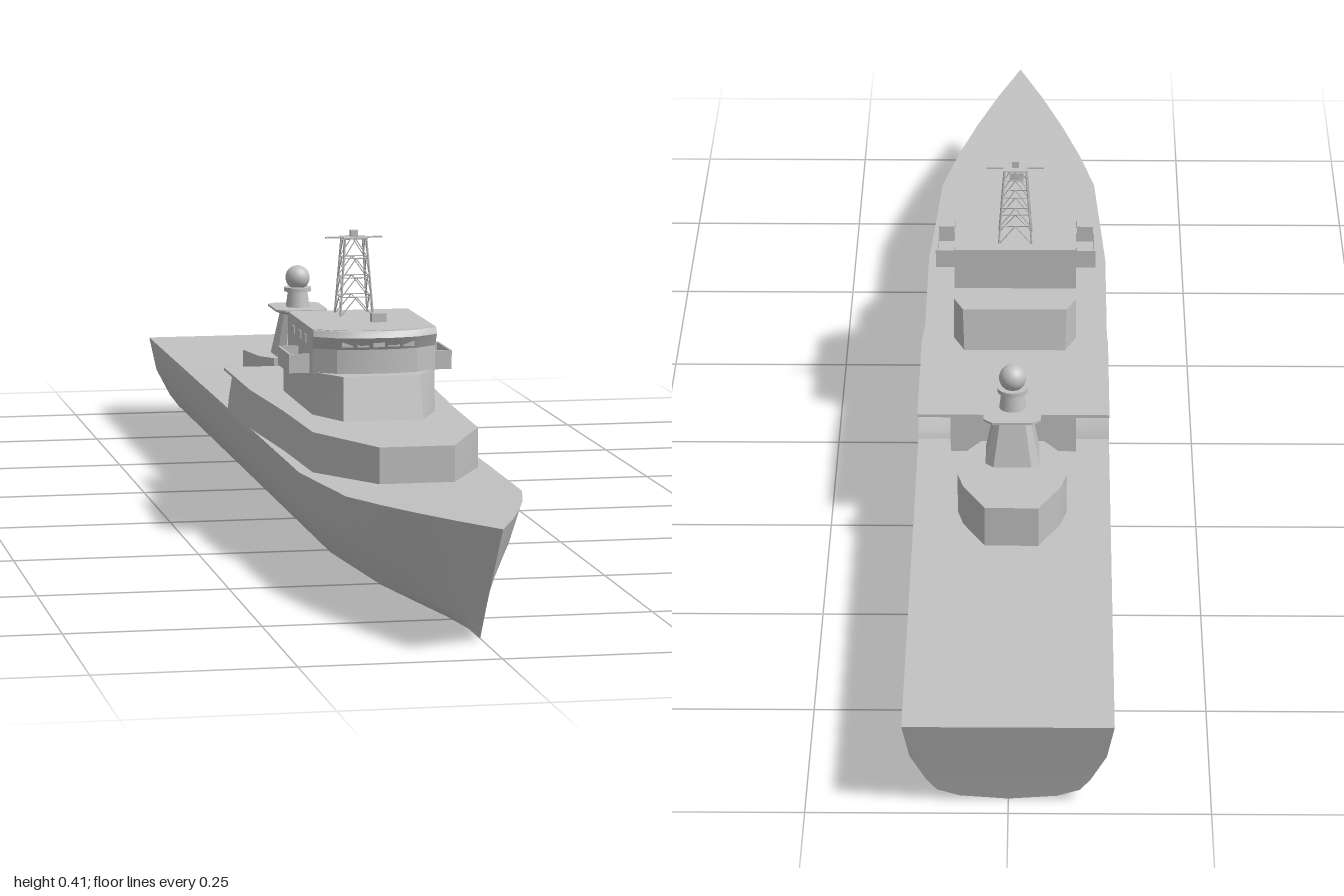
import * as THREE from 'three';
import { toCreasedNormals } from 'three/addons/utils/BufferGeometryUtils.js';

const grey = new THREE.MeshStandardMaterial({ color: 0xc2c2c2 });
grey.name = 'ship grey';

// Skin a row of closed rings of [x, y, z] and cap both ends
function loft(rings, crease = 0.4) {
  const pos = [];
  const n = rings[0].length;
  const tri = (...p) => p.forEach((v) => pos.push(...v));
  const centre = (r) => [0, 1, 2].map((k) => r.reduce((s, p) => s + p[k], 0) / n);
  const first = rings[0], last = rings[rings.length - 1];
  const c0 = centre(first), c1 = centre(last);
  for (let i = 0; i < n; i++) {
    const j = (i + 1) % n;
    for (let k = 0; k + 1 < rings.length; k++) {
      const a = rings[k], b = rings[k + 1];
      tri(a[i], a[j], b[j]);
      tri(a[i], b[j], b[i]);
    }
    tri(c0, first[j], first[i]);
    tri(c1, last[i], last[j]);
  }
  const g = new THREE.BufferGeometry();
  g.setAttribute('position', new THREE.Float32BufferAttribute(pos, 3));
  return toCreasedNormals(g, crease);
}

const mirrored = (half) => [...half, ...half.slice().reverse().map(([x, y, z]) => [-x, y, z])];

// Upright block from levels [y, half outline of [x, z] from front to back]
const block = (levels) =>
  loft(levels.map(([y, half]) => mirrored(half.map(([x, z]) => [x, y, z]))));

export function createModel() {
  const ship = new THREE.Group();
  ship.name = 'ship';

  function add(name, geometry, x = 0, y = 0, z = 0, parent = ship) {
    const m = new THREE.Mesh(geometry, grey);
    m.name = name;
    m.position.set(x, y, z);
    parent.add(m);
    return m;
  }
  const box = (name, w, h, d, x, y, z, parent) =>
    add(name, new THREE.BoxGeometry(w, h, d), x, y, z, parent);

  // Hull: one midship section, narrowed and raked along the stations
  const section = [[0, 0], [0.06, 0.005], [0.088, 0.015], [0.101, 0.032], [0.121, 0.072], [0.13, 0.122]];
  // keel z, deck z, deck half-width, bottom width factor, deck height
  const stations = [
    [-0.965, -1, 0.13, 1, 0.122],
    [0.35, 0.35, 0.13, 1, 0.124],
    [0.59, 0.6, 0.115, 0.76, 0.134],
    [0.68, 0.7, 0.093, 0.52, 0.14],
    [0.76, 0.8, 0.066, 0.28, 0.146],
    [0.82, 0.9, 0.035, 0.12, 0.152],
    [0.875, 1, 0, 0, 0.158],
  ];
  add('hull', loft(stations.map(([zk, zd, w, low, top]) => mirrored(section.map(([x, y]) => {
    const t = y / 0.122;
    const factor = THREE.MathUtils.lerp(low, w / 0.13, t);
    return [x * factor, t * top, THREE.MathUtils.lerp(zk, zd, Math.pow(t, 1.1))];
  }))), 0.3));

  // Main deckhouse with a recessed aft end under an overhanging roof
  const front = [[0.05, 0.492], [0.112, 0.35], [0.118, 0.16], [0.13, -0.04]];
  add('deckhouse', block([
    [0.118, [...front, [0.13, -0.23]]],
    [0.135, [...front, [0.13, -0.225]]],
    [0.178, [...front, [0.13, -0.19]]],
  ]));
  box('deckhouseAftRoom', 0.17, 0.056, 0.1, 0, 0.148, -0.215);
  box('deckhouseAftRoof', 0.26, 0.004, 0.085, 0, 0.176, -0.2225);

  // Bridge levels
  add('lowerBridge', block([
    [0.176, [[0.055, 0.27], [0.085, 0.2], [0.085, -0.025], [0.07, -0.065]]],
    [0.236, [[0.052, 0.253], [0.085, 0.195], [0.085, -0.02], [0.072, -0.055]]],
  ]));
  const bridgeOutline = (grow, aft = 0.014) => [
    [0.025, 0.229 + grow], [0.055, 0.222 + grow], [0.085, 0.2 + grow], [0.085, aft]];
  add('upperBridge', block([[0.234, bridgeOutline(0)], [0.295, bridgeOutline(0)]]));
  add('windowVisor', block([
    [0.269, bridgeOutline(0.001, 0.17)],
    [0.286, bridgeOutline(0.012, 0.17)],
    [0.2945, bridgeOutline(0.007, 0.17)],
  ]));
  box('roofSensor', 0.02, 0.012, 0.012, 0, 0.313, 0.23);

  // Bridge wings: open balconies
  for (const s of [1, -1]) {
    const wing = new THREE.Group();
    wing.name = s > 0 ? 'leftBridgeWing' : 'rightBridgeWing';
    ship.add(wing);
    box('wingFloor', 0.03, 0.003, 0.085, s * 0.098, 0.2335, 0.135, wing);
    box('wingSide', 0.003, 0.026, 0.085, s * 0.1115, 0.245, 0.135, wing);
    for (const z of [0.094, 0.176]) box('wingEnd', 0.03, 0.026, 0.003, s * 0.098, 0.245, z, wing);
    for (const z of [0.06, 0.11, 0.15]) box('sideWindow', 0.002, 0.011, 0.016, s * 0.0855, 0.276, z);
  }
  // Front window frames
  for (let i = -2; i <= 2; i++) box('frontWindow', 0.016, 0.01, 0.002, i * 0.021, 0.278, 0.2355 - Math.abs(i) * 0.0025);

  // Lattice mast
  const mast = new THREE.Group();
  mast.name = 'latticeMast';
  mast.position.set(0, 0, 0.057);
  ship.add(mast);
  const up = new THREE.Vector3(0, 1, 0);
  function strut(name, a, b, r) {
    const d = b.clone().sub(a);
    const m = add(name, new THREE.CylinderGeometry(r, r, d.length(), 6), 0, 0, 0, mast);
    m.position.copy(a).addScaledVector(d, 0.5);
    m.quaternion.setFromUnitVectors(up, d.normalize());
  }
  const corner = (i, level) => {
    const t = level / 4;
    const sx = [1, 1, -1, -1][i % 4], sz = [1, -1, -1, 1][i % 4];
    return new THREE.Vector3(sx * (0.023 - 0.008 * t), 0.294 + 0.107 * t, sz * (0.021 - 0.007 * t));
  };
  for (let i = 0; i < 4; i++) {
    strut('mastLeg', corner(i, 0), corner(i, 4), 0.0015);
    for (let k = 0; k < 4; k++) {
      const mid = corner(i, k + 1).lerp(corner(i + 1, k + 1), 0.5);
      strut('mastRing', corner(i, k + 1), corner(i + 1, k + 1), 0.0009);
      strut('mastBrace', corner(i, k), mid, 0.0008);
      strut('mastBrace', corner(i + 1, k), mid, 0.0008);
    }
  }
  box('mastPlatform', 0.034, 0.002, 0.032, 0, 0.402, 0, mast);
  box('yardarm', 0.08, 0.002, 0.006, 0, 0.402, 0, mast);
  box('mastTop', 0.01, 0.01, 0.01, 0, 0.407, 0, mast);

  // Aft deckhouse and tower
  add('aftDeckhouse', block([0.12, 0.178].map((y) =>
    [y, [[0.042, -0.343], [0.06, -0.37], [0.072, -0.44], [0.064, -0.475], [0.035, -0.535]]])));
  const square = (w, z0, z1) => [[w * 0.7, z0], [w, z0 - w * 0.3], [w, z1 + w * 0.3], [w * 0.7, z1]];
  add('aftTower', block([[0.176, square(0.036, -0.343, -0.42)], [0.243, square(0.023, -0.358, -0.405)]]));
  add('towerPlatform', block([[0.241, square(0.026, -0.352, -0.41)], [0.246, square(0.038, -0.336, -0.43)],
    [0.249, square(0.038, -0.336, -0.43)]]));
  add('radarPedestal', new THREE.CylinderGeometry(0.014, 0.018, 0.03, 16), 0, 0.262, -0.382);
  add('radarCollar', new THREE.CylinderGeometry(0.02, 0.02, 0.006, 16), 0, 0.275, -0.382);
  add('radarDome', new THREE.SphereGeometry(0.018, 20, 14), 0, 0.292, -0.382);

  return ship;
}
